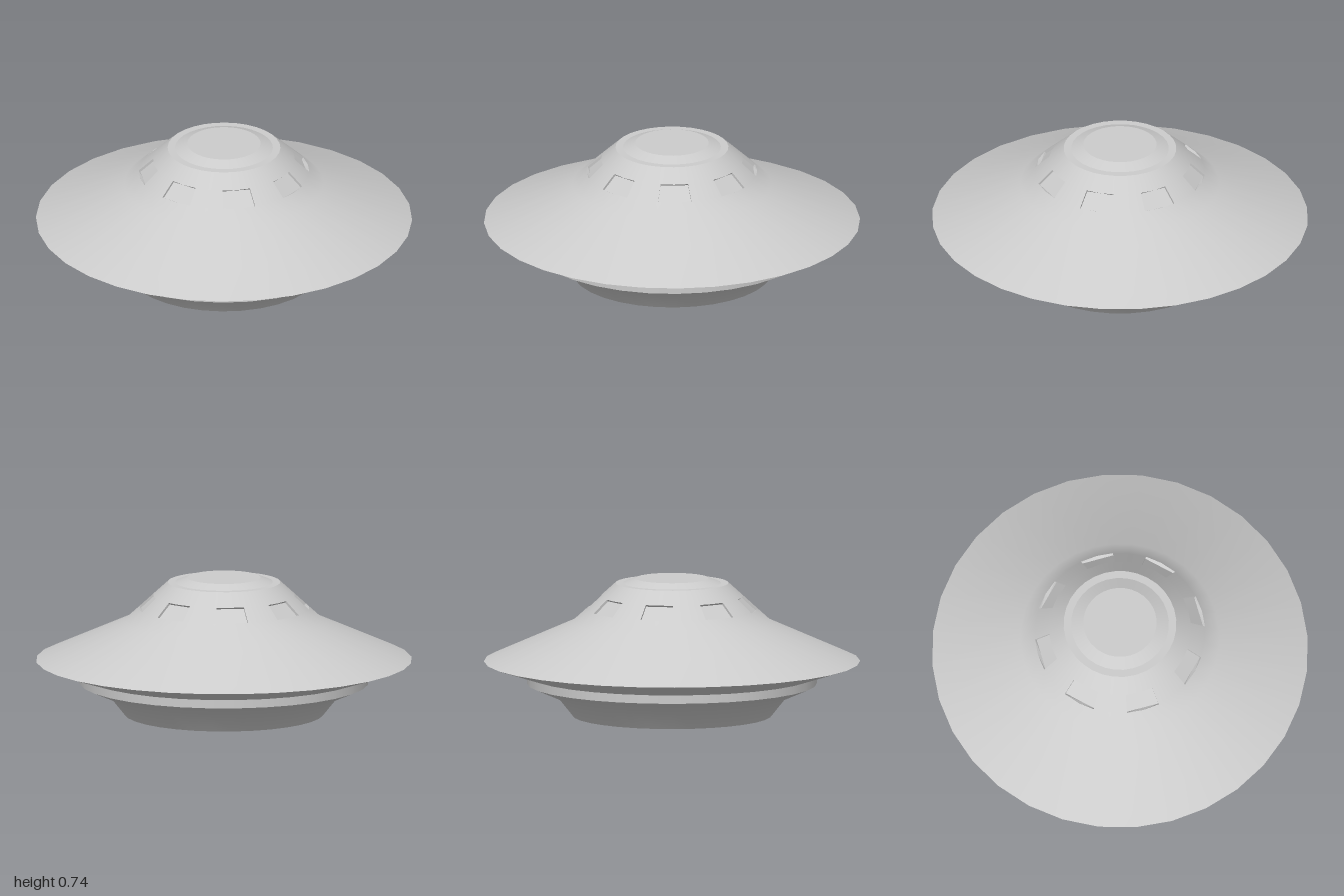
import * as THREE from 'three';

const SIDES = 32;
const STEP = (Math.PI * 2) / SIDES;
const WINDOWS = 8;
const material = new THREE.MeshStandardMaterial({ color: 0xcccccc });

// Window band on the dome: [radius, height] of its sill and lintel
const SILL = [0.453, 0.57];
const LINTEL = [0.377, 0.64];
const DEPTH = 0.013;

// Smooth surface of revolution; profiles run so that their outside faces out
function revolve(name, profile, segments = SIDES, start = 0, length = Math.PI * 2) {
  const points = profile.map(([r, y]) => new THREE.Vector2(r, y));
  const mesh = new THREE.Mesh(new THREE.LatheGeometry(points, segments, start, length), material);
  mesh.name = name;
  return mesh;
}

function onRing([r, y], angle) {
  return new THREE.Vector3(r * Math.sin(angle), y, r * Math.cos(angle));
}

// Shallow pocket with a flat pane, two dome facets wide
function windowRecess(start) {
  const angles = [start, start + STEP, start + 2 * STEP];
  const rim = [
    ...angles.map((a) => onRing(SILL, a)),
    ...angles.slice().reverse().map((a) => onRing(LINTEL, a)),
  ];
  const inward = onRing([0.675, 0.739], angles[1]).multiplyScalar(-DEPTH);
  const back = rim.map((p) => p.clone().add(inward));
  back[1].lerpVectors(back[0], back[2], 0.5);
  back[4].lerpVectors(back[3], back[5], 0.5);

  const corners = [];
  const quad = (a, b, c, d) => corners.push(a, b, c, a, c, d);
  rim.forEach((p, i) => {
    const j = (i + 1) % rim.length;
    quad(p, rim[j], back[j], back[i]);
  });
  quad(back[0], back[2], back[3], back[5]);

  const geometry = new THREE.BufferGeometry().setFromPoints(corners);
  geometry.computeVertexNormals();
  const mesh = new THREE.Mesh(geometry, material);
  mesh.name = 'windowRecess';
  return mesh;
}

export function createModel() {
  const model = new THREE.Group();
  model.name = 'flyingSaucer';

  // Underside, from the recessed belly outwards
  model.add(
    revolve('bellyPlate', [[0, 0.06], [0.4, 0.06]]),
    revolve('bellyRecessWall', [[0.4, 0.06], [0.49, 0]]),
    revolve('baseRim', [[0.49, 0], [0.53, 0]]),
    revolve('lowerHull', [[0.53, 0], [0.61, 0.1], [0.77, 0.17]]),
    revolve('hullBand', [[0.77, 0.17], [0.77, 0.215]]),
    revolve('discUnderside', [[0.77, 0.215], [1, 0.29]]),
  );

  // Upper disc flowing into the dome
  model.add(
    revolve('discTop', [[1, 0.29], [0.53, 0.5], SILL]),
    revolve('domeCrown', [LINTEL, [0.3, 0.71]]),
  );

  // Dome walls alternating with window pockets
  for (let i = 0; i < WINDOWS; i++) {
    const start = i * 4 * STEP;
    model.add(revolve('domeWall', [SILL, LINTEL], 2, start, 2 * STEP));
    model.add(windowRecess(start + 2 * STEP));
  }

  // Roof cap
  model.add(
    revolve('roofLedge', [[0.3, 0.71], [0.26, 0.71]]),
    revolve('roofBevel', [[0.26, 0.71], [0.195, 0.735]]),
    revolve('roofPlate', [[0.195, 0.735], [0, 0.735]]),
  );
  return model;
}
